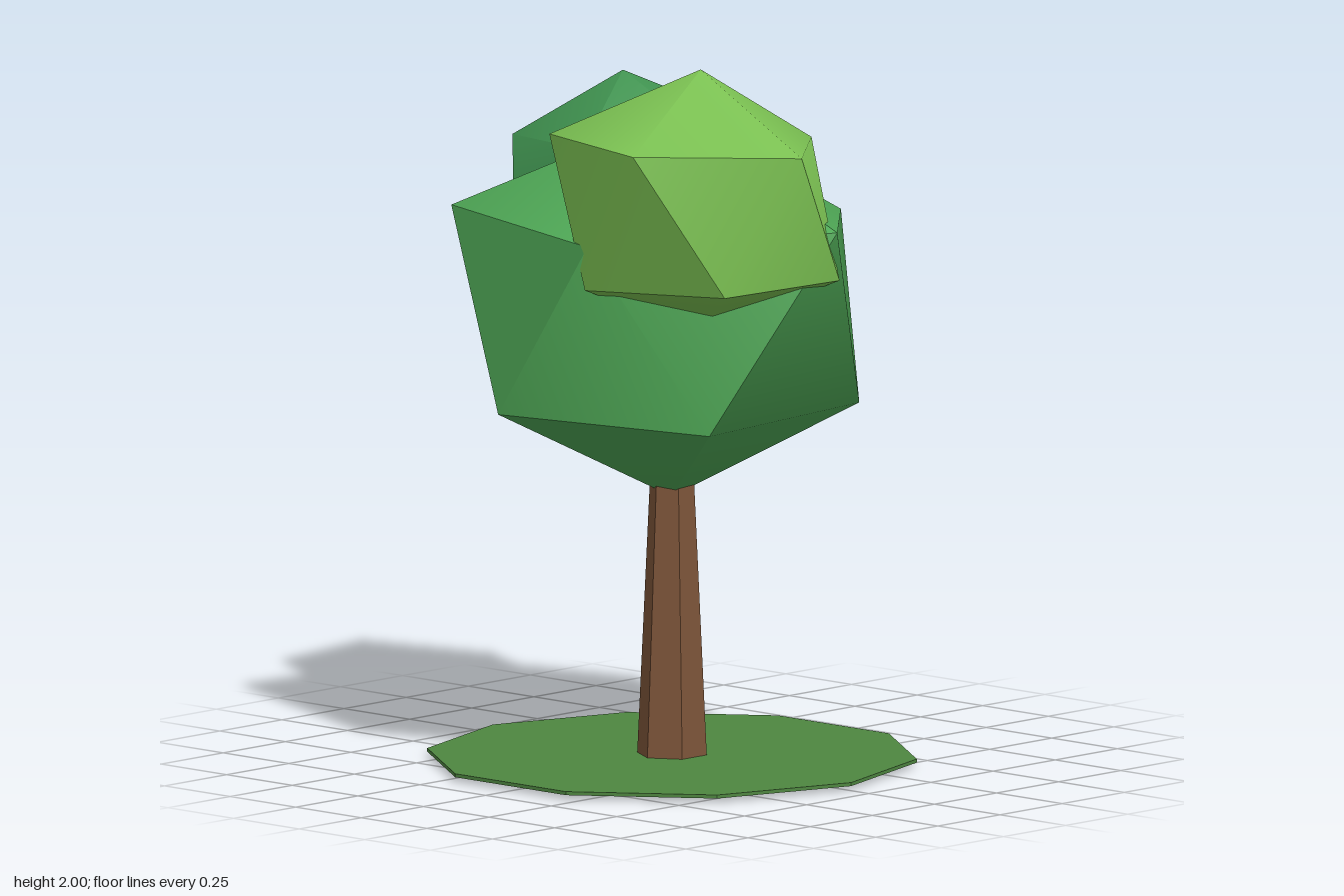
import * as THREE from 'three';
import { toCreasedNormals } from 'three/addons/utils/BufferGeometryUtils.js';

const material = (name, color) => {
  const m = new THREE.MeshStandardMaterial({ color });
  m.name = name;
  return m;
};

// Twenty-sided leaf clump: a top point, two staggered rings of five and a bottom point.
// Ring points run from +x towards +z.
function leafClump(name, mat, top, upper, lower, bottom) {
  const corners = [];
  for (let i = 0; i < 5; i++) {
    const j = (i + 1) % 5;
    corners.push(
      top, upper[j], upper[i],
      upper[i], upper[j], lower[i],
      lower[i], upper[j], lower[j],
      bottom, lower[i], lower[j]
    );
  }
  const geo = new THREE.BufferGeometry();
  geo.setAttribute('position', new THREE.Float32BufferAttribute(corners.flat(), 3));
  const mesh = new THREE.Mesh(toCreasedNormals(geo, 0.73), mat);
  mesh.name = name;
  return mesh;
}

export function createModel() {
  const tree = new THREE.Group();
  tree.name = 'tree';

  const bark = material('bark brown', 0x7d5539);
  const grass = material('grass green', 0x4e8640);
  const leaf = material('leaf green', 0x4fa856);
  const darkLeaf = material('deep leaf green', 0x409350);
  const limeLeaf = material('lime leaf green', 0x7bc152);

  // Thin ten-sided patch of grass
  const patchGeo = new THREE.CylinderGeometry(0.683, 0.683, 0.01, 10);
  patchGeo.rotateY(Math.PI / 2);
  const patch = new THREE.Mesh(toCreasedNormals(patchGeo, 0.5), grass);
  patch.name = 'grassPatch';
  patch.position.y = 0.018;
  tree.add(patch);

  // Tapered six-sided trunk
  const trunkGeo = new THREE.CylinderGeometry(0.06, 0.1, 0.85, 6);
  const trunk = new THREE.Mesh(toCreasedNormals(trunkGeo, 0.5), bark);
  trunk.name = 'trunk';
  trunk.position.y = 0.425;
  tree.add(trunk);

  // Large middle clump
  tree.add(leafClump('mainCrown', leaf,
    [0, 1.82, 0],
    [[0.63, 1.56, 0], [0.17, 1.53, 0.52], [-0.5, 1.55, 0.36], [-0.48, 1.53, -0.35], [0.17, 1.51, -0.5]],
    [[0.46, 1.01, 0.335], [-0.17, 1.02, 0.52], [-0.58, 1.0, 0.01], [-0.18, 1.0, -0.555], [0.42, 1.02, -0.31]],
    [0, 0.745, 0]));

  // Lime clump, high on the front left
  tree.add(leafClump('limeCrown', limeLeaf,
    [0.28, 2.0, 0.18],
    [[0.665, 1.795, 0.18], [0.41, 1.82, 0.59], [-0.06, 1.81, 0.43], [-0.06, 1.8, -0.07], [0.38, 1.78, -0.16]],
    [[0.58, 1.42, 0.4], [0.17, 1.41, 0.53], [-0.06, 1.46, 0.18], [0.17, 1.46, -0.14], [0.61, 1.42, -0.03]],
    [0.28, 1.26, 0.18]));

  // Deep green clump on the back right
  tree.add(leafClump('backCrown', darkLeaf,
    [-0.31, 1.89, -0.13],
    [[0.03, 1.72, -0.15], [-0.22, 1.71, 0.13], [-0.57, 1.7, 0.04], [-0.595, 1.75, -0.34], [-0.2, 1.745, -0.44]],
    [[-0.05, 1.42, 0.05], [-0.47, 1.4, 0.14], [-0.66, 1.4, -0.13], [-0.41, 1.41, -0.45], [-0.07, 1.42, -0.35]],
    [-0.31, 1.24, -0.14]));

  return tree;
}
